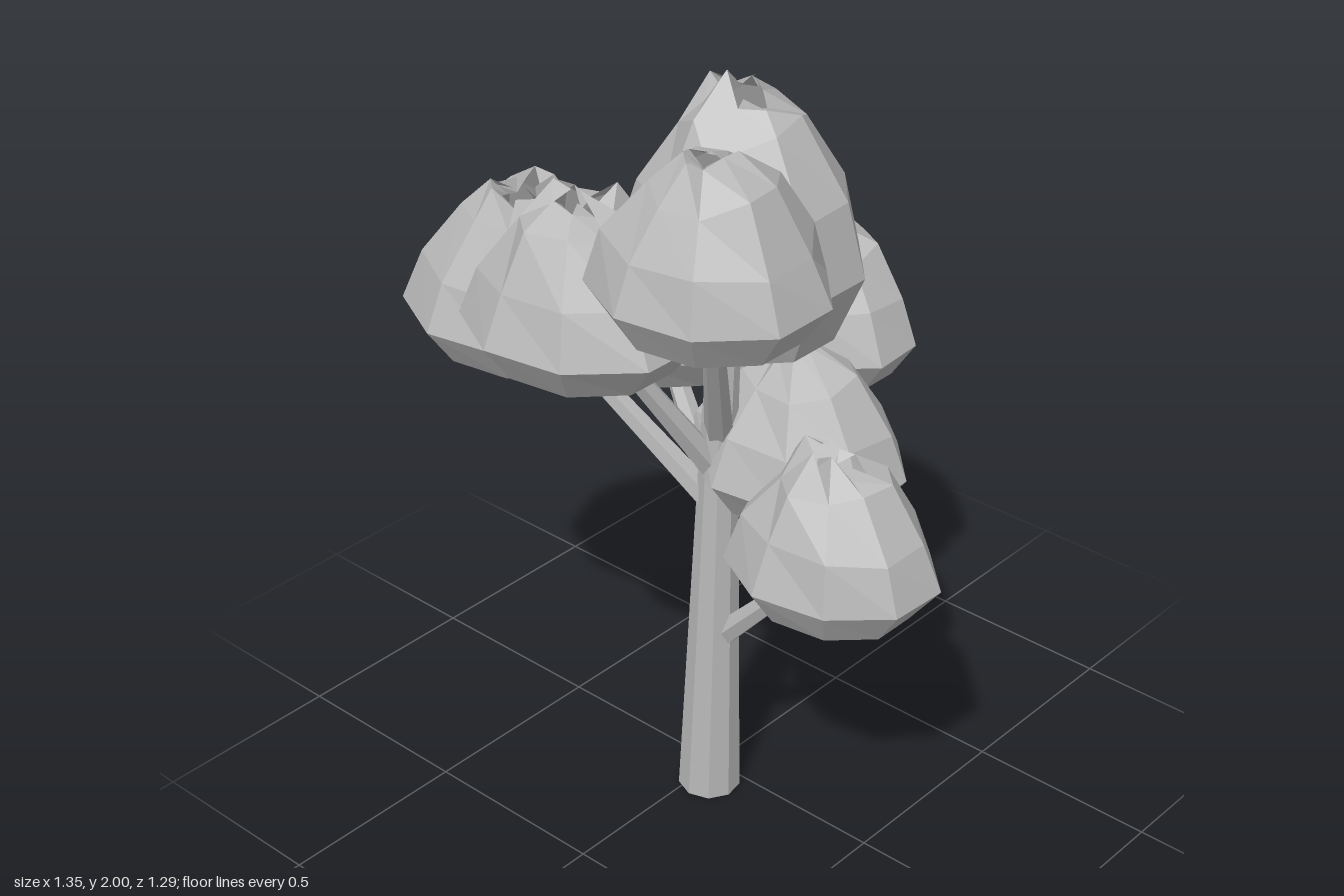
import * as THREE from 'three';

const SIDES = 9;

// Upper rings of a leaf clump, crown first: radius, height, and how far each may wander
const RINGS = [
  [0.1, 0.88, 0.1],
  [0.23, 0.9, 0.1],
  [0.52, 0.73, 0.07],
  [0.84, 0.37, 0.03],
  [1, 0, 0.03],
];
const WIDEST = RINGS.length - 1;
const ROWS = WIDEST + 3;

// Small seeded generator giving values from -1 to 1
function makeJitter(seed) {
  let s = seed * 7919;
  return () => {
    s = (s * 16807) % 2147483647;
    return (s / 2147483647) * 2 - 1;
  };
}

// Tapered, faceted limb between two points
function limb(name, from, to, r0, r1, sides, material) {
  const dir = to.clone().sub(from);
  const mesh = new THREE.Mesh(new THREE.CylinderGeometry(r1, r0, dir.length(), sides), material);
  mesh.name = name;
  mesh.position.copy(from).lerp(to, 0.5);
  mesh.quaternion.setFromUnitVectors(new THREE.Vector3(0, 1, 0), dir.normalize());
  return mesh;
}

// Flat-bottomed leaf clump: a nine-sided dome with a crumpled crown over a short bevel
function clumpGeometry(rx, rz, drop, rise, seed) {
  const geo = new THREE.SphereGeometry(1, SIDES, ROWS).toNonIndexed();
  const pos = geo.attributes.position, uv = geo.attributes.uv;
  const jitter = makeJitter(seed);
  const noise = Array.from({ length: SIDES * (WIDEST + 1) }, () => [jitter(), jitter()]);
  for (let i = 0; i < pos.count; i++) {
    const row = Math.round((1 - uv.getY(i)) * ROWS);
    const column = Math.floor(uv.getX(i) * SIDES + 0.25) % SIDES;
    const angle = Math.PI - (column / SIDES) * Math.PI * 2;
    // Rows below the widest ring lie in the flat underside
    let r = row === WIDEST + 1 ? 0.75 : 0;
    let y = -drop;
    if (row <= WIDEST) {
      const [radius, height, wander] = RINGS[row];
      const [n, m] = noise[row * SIDES + column];
      r = radius + n * wander;
      y = row === WIDEST ? 0 : rise * Math.min(1, height + m * wander);
      // One point of the crown always reaches the full height
      if (row === 1 && column === seed % SIDES) y = rise;
    }
    pos.setXYZ(i, Math.cos(angle) * r * rx, y, Math.sin(angle) * r * rz);
  }
  geo.computeVertexNormals();
  return geo;
}

export function createModel() {
  const group = new THREE.Group();
  group.name = 'tree';
  const grey = new THREE.MeshStandardMaterial({ color: 0xb8b8b8, flatShading: true, side: THREE.DoubleSide });
  grey.name = 'grey';

  // Trunk and the leader that carries the crown
  const foot = new THREE.Vector3(0.038, 0, 0.067);
  const fork = new THREE.Vector3(0.073, 1.1, 0.067);
  const tip = new THREE.Vector3(0.09, 1.45, 0.055);
  group.add(limb('trunk', foot, fork, 0.08, 0.045, SIDES, grey));
  group.add(limb('trunkLeader', fork, tip, 0.045, 0.033, SIDES, grey));

  // Leaf clumps: name, x, z, underside height, half width, half depth, branch height on the trunk
  const clumps = [
    ['back', -0.032, -0.435, 1.02, 0.268, 0.215, 0.78],
    ['left', 0.405, 0.05, 0.727, 0.28, 0.225, 0.45],
    ['backLeft', 0.163, -0.105, 0.86, 0.294, 0.25, 0.58],
    ['frontLeft', 0.311, 0.37, 1.56, 0.291, 0.258, 1.05],
    ['front', -0.057, 0.39, 1.36, 0.3, 0.258, 0.95],
    ['frontRight', -0.368, 0.27, 1.247, 0.307, 0.273, 0.85],
    ['backRight', -0.21, -0.02, 1.15, 0.29, 0.255, 0.86],
  ];
  const addClump = (name, x, y, z, ...size) => {
    const leaves = new THREE.Mesh(clumpGeometry(...size), grey);
    leaves.name = name + 'LeafClump';
    leaves.position.set(x, y, z);
    group.add(leaves);
  };
  clumps.forEach(([name, x, z, base, rx, rz, start], i) => {
    addClump(name, x, base + 0.095, z, rx, rz, 0.095, 0.325, i + 2);
    const from = foot.clone().lerp(fork, start / fork.y);
    const to = new THREE.Vector3(x, base + 0.1, z);
    group.add(limb(name + 'Branch', from, to, 0.036, 0.02, 6, grey));
  });
  addClump('crown', 0.109, 1.53, 0.03, 0.309, 0.28, 0.17, 0.47, 11);
  return group;
}
